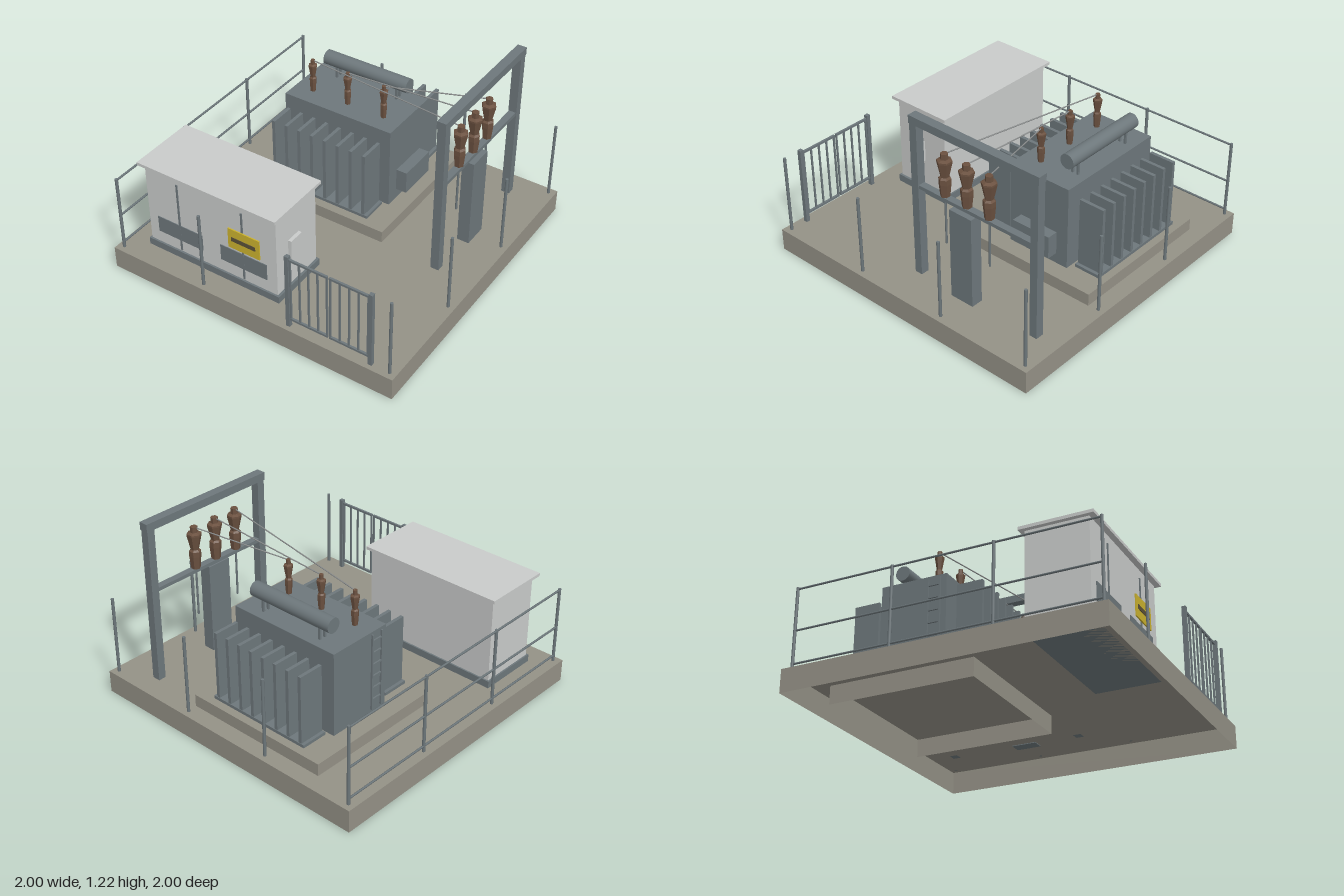
import * as THREE from 'three';

const mat = (name, color, side = THREE.FrontSide) => {
  const m = new THREE.MeshStandardMaterial({ color, side });
  m.name = name;
  return m;
};

export function createModel() {
  const root = new THREE.Group();
  root.name = 'substation';
  const concrete = mat('concrete', 0x949186, THREE.DoubleSide);
  const steel = mat('steel grey', 0x6d777b);
  const pale = mat('pale grey paint', 0xc9cbca);
  const brown = mat('brown porcelain', 0x6b5140);
  brown.flatShading = true;
  const yellow = mat('warning yellow', 0xcbb22e);
  const dark = mat('dark print', 0x5a5038);
  const wireGrey = mat('wire grey', 0x8c8f8f);

  const group = (name) => {
    const g = new THREE.Group();
    g.name = name;
    root.add(g);
    return g;
  };
  const add = (parent, name, geo, material) => {
    const m = new THREE.Mesh(geo, material);
    m.name = name;
    parent.add(m);
    return m;
  };
  // Box given by its limits on each axis
  const box = (parent, name, material, x0, x1, y0, y1, z0, z1) => {
    const m = add(parent, name, new THREE.BoxGeometry(x1 - x0, y1 - y0, z1 - z0), material);
    m.position.set((x0 + x1) / 2, (y0 + y1) / 2, (z0 + z1) / 2);
    return m;
  };
  // Box open underneath
  const shell = (parent, name, ...limits) => {
    const m = box(parent, name, concrete, ...limits);
    const index = Array.from(m.geometry.index.array);
    index.splice(18, 6);
    m.geometry.setIndex(index);
    m.geometry.clearGroups();
  };
  // Round bar between two points
  const rod = (parent, name, material, a, b, r, sides = 6) => {
    const p = new THREE.Vector3(...a), q = new THREE.Vector3(...b);
    const m = add(parent, name, new THREE.CylinderGeometry(r, r, p.distanceTo(q), sides), material);
    m.position.copy(p).lerp(q, 0.5);
    m.quaternion.setFromUnitVectors(new THREE.Vector3(0, 1, 0), q.sub(p).normalize());
  };

  // Foundation
  const G = 0.147;
  const base = group('foundation');
  shell(base, 'slab', -1, 1, 0, G, -1, 1);
  shell(base, 'transformerPlinth', -0.67, 0.33, 0.03, 0.227, -0.89, 0.053);

  // Switchgear kiosk
  const kiosk = group('kiosk');
  box(kiosk, 'kioskFooting', steel, -0.845, 0.128, G, 0.195, 0.433, 0.847);
  box(kiosk, 'kioskBody', pale, -0.834, 0.112, 0.195, 0.757, 0.444, 0.834);
  box(kiosk, 'kioskRoof', pale, -0.862, 0.135, 0.757, 0.777, 0.415, 0.87);
  box(kiosk, 'sidePanel', pale, 0.112, 0.135, 0.393, 0.532, 0.615, 0.72);
  for (const x of [-0.598, -0.128]) {
    box(kiosk, 'doorSeam', steel, x - 0.006, x + 0.006, 0.205, 0.7, 0.834, 0.84);
    box(kiosk, 'vent', steel, x - 0.167, x + 0.168, 0.28, 0.393, 0.834, 0.839);
  }
  box(kiosk, 'warningSign', yellow, -0.225, 0, 0.418, 0.558, 0.84, 0.848);
  box(kiosk, 'signBar', dark, -0.2, -0.028, 0.473, 0.502, 0.848, 0.851);

  // Transformer tank with its radiators
  const tank = group('transformer');
  box(tank, 'tank', steel, -0.556, 0.22, 0.227, 0.776, -0.637, -0.198);
  box(tank, 'controlBox', steel, 0.22, 0.293, 0.297, 0.447, -0.556, -0.283);
  for (const [z0, z1] of [[-0.155, 0.014], [-0.853, -0.684]]) {
    box(tank, 'radiatorTray', steel, -0.53, 0.197, 0.248, 0.268, z0 - 0.004, z1 + 0.004);
    for (let i = 0; i < 8; i++) {
      const x = -0.498 + i * 0.0946;
      box(tank, 'radiatorFin', steel, x - 0.011, x + 0.011, 0.268, 0.71, z0, z1);
    }
  }

  // Ladder on the end of the tank
  for (const z of [-0.32, -0.24]) box(tank, 'ladderRail', steel, -0.568, -0.556, 0.25, 0.76, z - 0.005, z + 0.005);
  for (let i = 0; i < 6; i++) {
    const y = 0.31 + i * 0.08;
    box(tank, 'ladderRung', steel, -0.566, -0.556, y, y + 0.01, -0.32, -0.24);
  }

  // Oil conservator
  rod(tank, 'conservator', steel, [-0.475, 0.89, -0.55], [0.135, 0.89, -0.55], 0.048, 24);
  for (const x of [-0.39, 0.055])
    for (const z of [-0.57, -0.53]) box(tank, 'conservatorLeg', steel, x - 0.007, x + 0.007, 0.77, 0.87, z - 0.007, z + 0.007);

  // Portal frame
  const frame = group('portalFrame');
  for (const z of [0.057, -0.833]) box(frame, 'post', steel, 0.695, 0.75, G, 1.175, z - 0.026, z + 0.026);
  box(frame, 'topBeam', steel, 0.692, 0.752, 1.173, 1.224, -0.865, 0.088);
  box(frame, 'middleBeam', steel, 0.7, 0.745, 0.755, 0.778, -0.81, 0.035);
  box(frame, 'switchColumn', steel, 0.697, 0.777, G - 0.005, 0.75, -0.4, -0.235);

  // Six-sided insulators: [radius, height] as shares of full size
  const profile = [[0, 0], [0.62, 0], [0.8, 0.3], [0.8, 0.42], [0.55, 0.46], [1, 0.8], [1, 0.84], [0.5, 0.87], [0.5, 1], [0, 1]];
  const insulator = (parent, x, y, z, r, h) => {
    const pts = profile.map(([u, v]) => new THREE.Vector2(u * r, v * h));
    add(parent, 'insulator', new THREE.LatheGeometry(pts, 6, Math.PI / 6), brown).position.set(x, y, z);
  };
  const lines = group('lines');
  [-0.43, -0.17, 0.092].forEach((x, i) => {
    const z = [-0.153, -0.32, -0.487][i];
    insulator(tank, x, 0.776, -0.322, 0.029, 0.228);
    insulator(frame, 0.72, 0.778, z, 0.047, 0.282);
    rod(frame, 'dropRod', steel, [0.72, 0.45, z], [0.72, 0.757, z], 0.007);
    rod(lines, 'wire', wireGrey, [x, 1.0, -0.322], [0.72, 1.055, z], 0.004);
  });

  // Perimeter fence: free posts all round, rails on one side
  const fence = group('fence');
  const E = 0.957;
  const fencePost = (x, z) => rod(fence, 'fencePost', steel, [x, G, z], [x, 0.668, z], 0.01, 8);
  for (const t of [-E, -0.32, 0.32, E]) {
    fencePost(-E, t);
    fencePost(E, t);
  }
  fencePost(-0.32, -E);
  fencePost(0.32, -E);
  fencePost(-0.342, E);
  for (const y of [0.185, 0.393, 0.658]) rod(fence, 'fenceRail', steel, [-E, y, -E], [-E, y, E], 0.007);

  // Double-leaf gate
  const gate = group('gate');
  for (const x of [0.278, 0.832]) box(gate, 'gatePost', steel, x - 0.013, x + 0.013, G, 0.668, E - 0.013, E + 0.013);
  for (const [x0, x1] of [[0.291, 0.547], [0.559, 0.817]]) {
    for (const y of [0.202, 0.643]) box(gate, 'gateRail', steel, x0, x1, y - 0.007, y + 0.007, E - 0.007, E + 0.007);
    for (let i = 0; i < 5; i++) {
      const x = x0 + 0.005 + (i / 4) * (x1 - x0 - 0.01);
      box(gate, 'gateBar', steel, x - 0.005, x + 0.005, 0.202, 0.643, E - 0.005, E + 0.005);
    }
  }
  return root;
}
